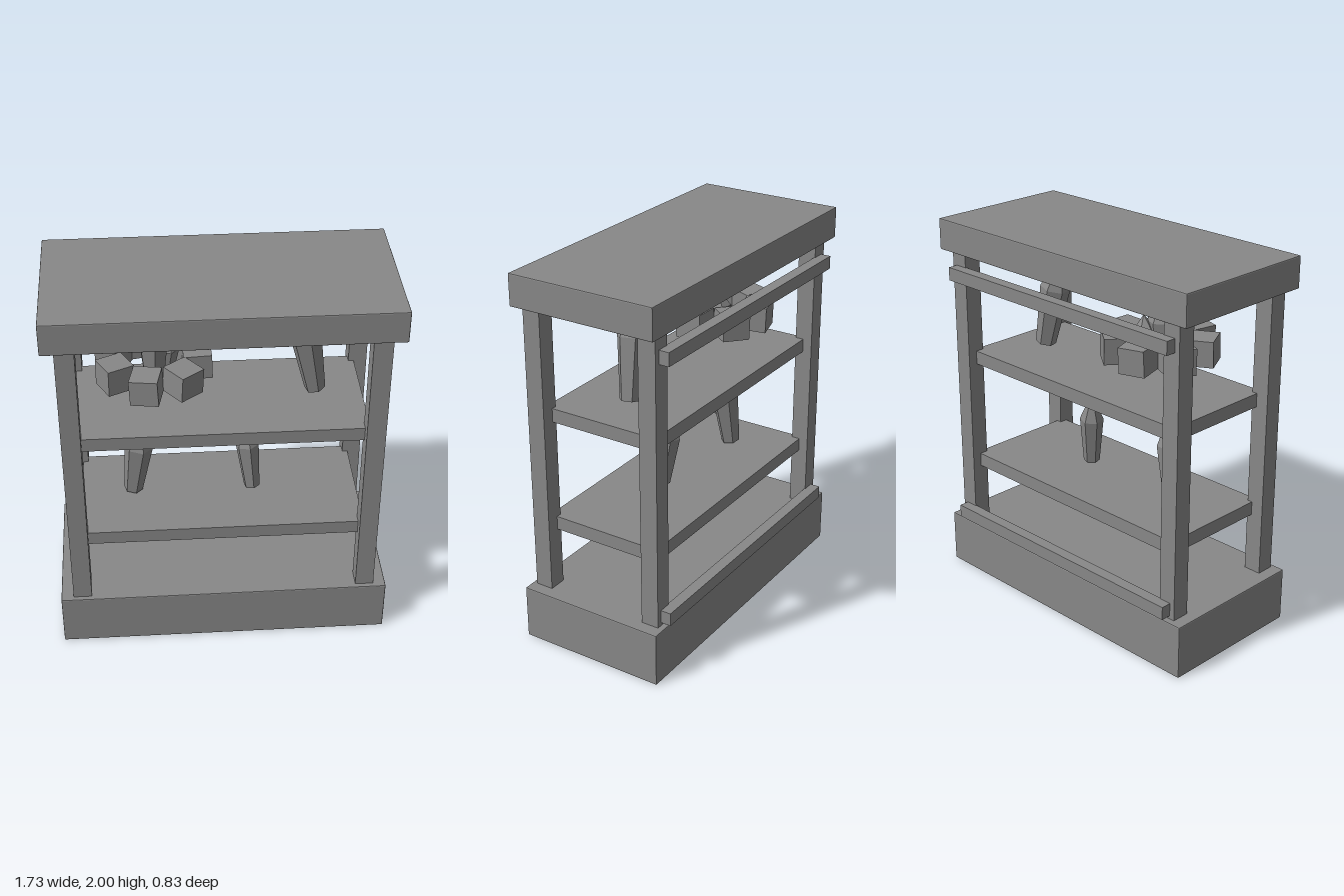
import * as THREE from 'three';
import { RoundedBoxGeometry } from 'three/addons/geometries/RoundedBoxGeometry.js';

export function createModel() {
  const model = new THREE.Group();
  model.name = 'crystalDisplayShelf';
  const stone = new THREE.MeshStandardMaterial({ color: 0x888888, flatShading: true });
  stone.name = 'grey';

  const add = (name, geometry, parent = model) => {
    const mesh = new THREE.Mesh(geometry, stone);
    mesh.name = name;
    parent.add(mesh);
    return mesh;
  };
  // Box given by its lower and upper corners
  const box = (name, a, b, bevel = 0) => {
    const s = b.map((v, i) => v - a[i]);
    const geometry = bevel ? new RoundedBoxGeometry(...s, 1, bevel) : new THREE.BoxGeometry(...s);
    add(name, geometry).position.set(...a.map((v, i) => (v + b[i]) / 2));
  };

  // Plinth and roof slab
  box('plinth', [-0.863, 0, -0.392], [0.863, 0.29, 0.415], 0.006);
  box('roofSlab', [-0.863, 1.834, -0.392], [0.863, 2, 0.415], 0.006);

  // Corner posts
  for (const side of [-1, 1]) {
    for (const z of [-0.3125, 0.3425]) {
      const x = side * 0.75;
      box('post', [x - 0.048, 0.28, z - 0.048], [x + 0.048, 1.84, z + 0.048]);
    }
  }

  // Shelves and rear rails
  for (const y of [0.61, 1.213]) box('shelf', [-0.73, y, -0.31], [0.73, y + 0.073, 0.337]);
  for (const y of [0.307, 1.69]) box('backRail', [-0.77, y, -0.415], [0.77, y + 0.07, -0.355]);

  // Six-sided crystal from its bottom point to its tip
  const crystal = (name, bottom, tip, radius, spin = 0) => {
    const from = new THREE.Vector3(...bottom);
    const axis = new THREE.Vector3(...tip).sub(from);
    const h = axis.length();
    const profile = [[0, 0], [radius * 0.68, 0], [radius, h * 0.62], [0, h]]
      .map(([r, y]) => new THREE.Vector2(r, y));
    const mesh = add(name, new THREE.LatheGeometry(profile, 6, spin));
    mesh.position.copy(from);
    mesh.quaternion.setFromUnitVectors(new THREE.Vector3(0, 1, 0), axis.normalize());
  };
  crystal('upperCrystal', [0.49, 1.315, 0], [0.395, 1.82, 0.032], 0.08, 0.25);
  crystal('lowerLargeCrystal', [-0.46, 0.7, -0.005], [-0.398, 1.175, 0.025], 0.075, 0.3);
  crystal('lowerSmallCrystal', [0.172, 0.712, 0.028], [0.13, 1.125, -0.01], 0.063, 0.2);
  crystal('clusterCrystal', [-0.33, 1.42, 0.03], [-0.33, 1.77, 0.03], 0.076, 0.1);
  crystal('clusterSideCrystal', [-0.28, 1.42, -0.03], [-0.26, 1.665, -0.03], 0.07, 0.4);

  // Ring of small blocks around the crystal cluster
  const ring = new THREE.Group();
  ring.name = 'blockRing';
  ring.position.set(-0.33, 1.514, 0.015);
  model.add(ring);
  for (let i = 0; i < 7; i++) {
    const angle = -0.2 + (i * Math.PI * 2) / 7;
    const block = add('ringBlock', new THREE.BoxGeometry(0.142, 0.136, 0.142), ring);
    block.position.set(Math.sin(angle) * 0.218, 0, Math.cos(angle) * 0.218);
    block.rotation.set(0.04 * Math.sin(i * 2), angle, 0.04 * Math.cos(i * 3), 'YXZ');
  }
  return model;
}
